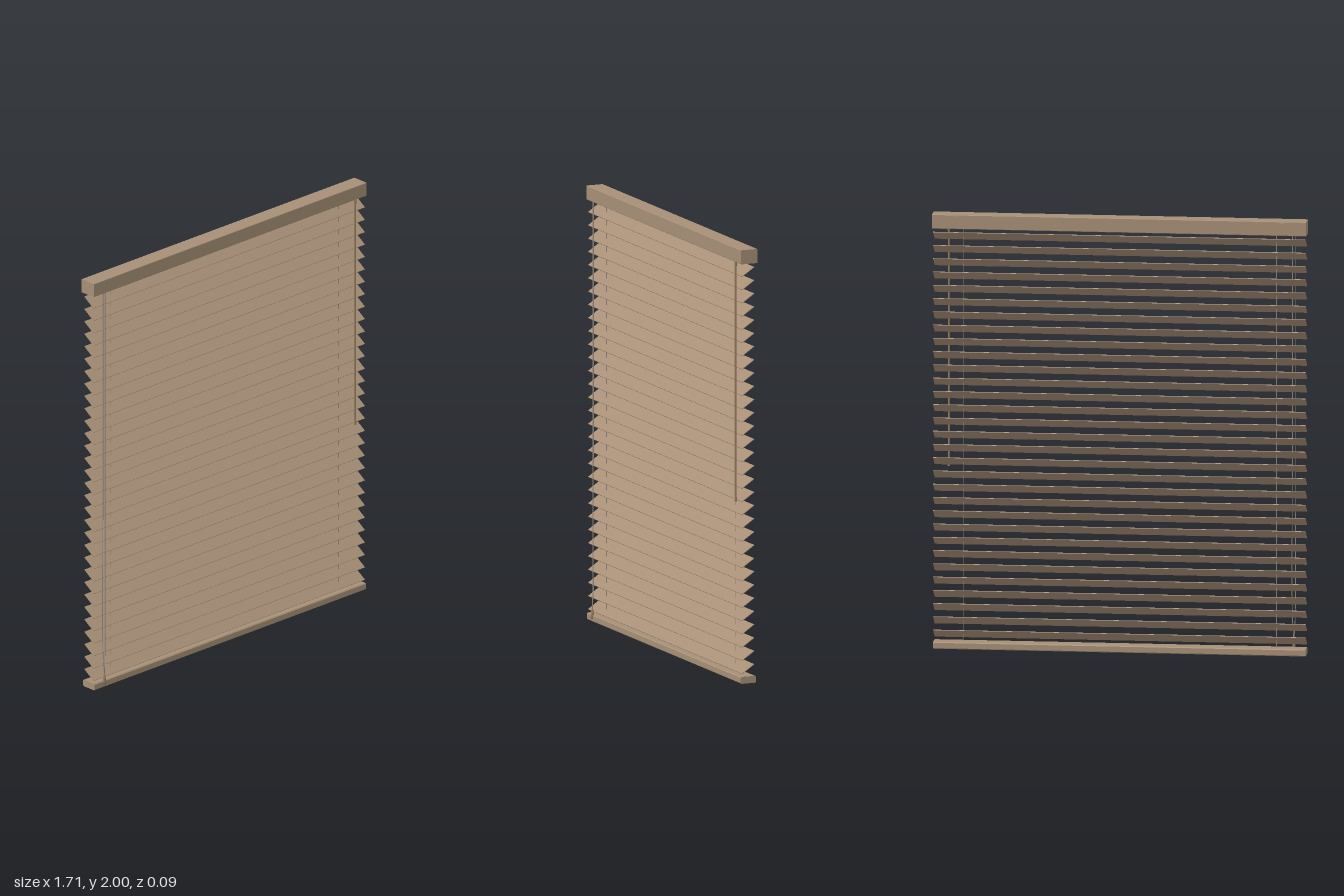
import * as THREE from 'three';

export function createModel() {
  const model = new THREE.Group();
  const wood = new THREE.MeshStandardMaterial({ color: 0xa68f76 });
  wood.name = 'wood';
  const wandWood = new THREE.MeshStandardMaterial({ color: 0x937c5e });
  wandWood.name = 'wandWood';
  const cordGrey = new THREE.MeshStandardMaterial({ color: 0x948c80 });
  cordGrey.name = 'cordGrey';

  const add = (name, geometry, material, x, y, z, parent = model) => {
    const mesh = new THREE.Mesh(geometry, material);
    mesh.name = name;
    mesh.position.set(x, y, z);
    parent.add(mesh);
    return mesh;
  };
  // Upright rod between two heights
  const rod = (name, r, y0, y1, x, z, material, sides = 8) =>
    add(name, new THREE.CylinderGeometry(r, r, y1 - y0, sides), material, x, (y0 + y1) / 2, z);
  // Rail with a (z, y) outline, extruded across the width
  const rail = (name, outline, width) => {
    const shape = new THREE.Shape(outline.map(([z, y]) => new THREE.Vector2(-z, y)));
    const geo = new THREE.ExtrudeGeometry(shape, { depth: width, bevelEnabled: false });
    geo.translate(0, 0, -width / 2);
    geo.rotateY(Math.PI / 2);
    return add(name, geo, wood, 0, 0, 0);
  };

  // Head rail and bottom rail, with slightly eased edges
  rail('headRail', [[0.04, 1.937], [0.04, 1.998], [0.038, 2], [-0.04, 2],
    [-0.042, 1.998], [-0.042, 1.937], [-0.04, 1.935], [0.038, 1.935]], 1.706);
  rail('bottomRail', [[0.04, 0.004], [0.04, 0.028], [0.036, 0.032], [-0.031, 0.032],
    [-0.035, 0.028], [-0.035, 0.004], [-0.031, 0], [0.036, 0]], 1.698);

  // Tilted slats, low edge at the front
  const slats = new THREE.Group();
  slats.name = 'slats';
  model.add(slats);
  const slatGeo = new THREE.BoxGeometry(1.698, 0.003, 0.072);
  slatGeo.rotateX(Math.atan2(0.04, 0.06));
  const count = 31;
  for (let i = 0; i < count; i++) {
    add('slat', slatGeo, wood, 0, 0.066 + (i * 1.831) / (count - 1), 0.003, slats);
  }

  // Lift cords through the slats and brackets behind the head rail
  for (const side of [-1, 1]) {
    rod('liftCord', 0.0016, 0.03, 1.94, side * 0.713, 0.003, cordGrey, 6);
    add('bracket', new THREE.BoxGeometry(0.042, 0.045, 0.004), wood, side * 0.73, 1.972, -0.044);
  }

  // Tilt wand with end caps
  rod('wand', 0.0045, 0.83, 1.935, 0.785, 0.037, wandWood);
  rod('wandTip', 0.006, 0.83, 0.85, 0.785, 0.037, wandWood);
  rod('wandHook', 0.006, 1.915, 1.937, 0.785, 0.037, wandWood);

  // Pair of pull cords meeting in a tassel
  for (const dx of [-0.006, 0.006]) {
    const curve = new THREE.CatmullRomCurve3([
      new THREE.Vector3(-0.788 + dx, 1.937, 0.037),
      new THREE.Vector3(-0.788 + dx, 1.0, 0.037),
      new THREE.Vector3(-0.788 + dx, 0.15, 0.037),
      new THREE.Vector3(-0.788, 0.06, 0.04),
    ]);
    add('pullCord', new THREE.TubeGeometry(curve, 24, 0.0018, 6), cordGrey, 0, 0, 0);
  }
  const tassel = [[0, 0], [0.007, 0.001], [0.008, 0.014], [0.006, 0.035], [0.003, 0.052], [0, 0.055]];
  add('tassel', new THREE.LatheGeometry(tassel.map(([r, y]) => new THREE.Vector2(r, y)), 12),
    wandWood, -0.788, 0.012, 0.04);

  return model;
}
